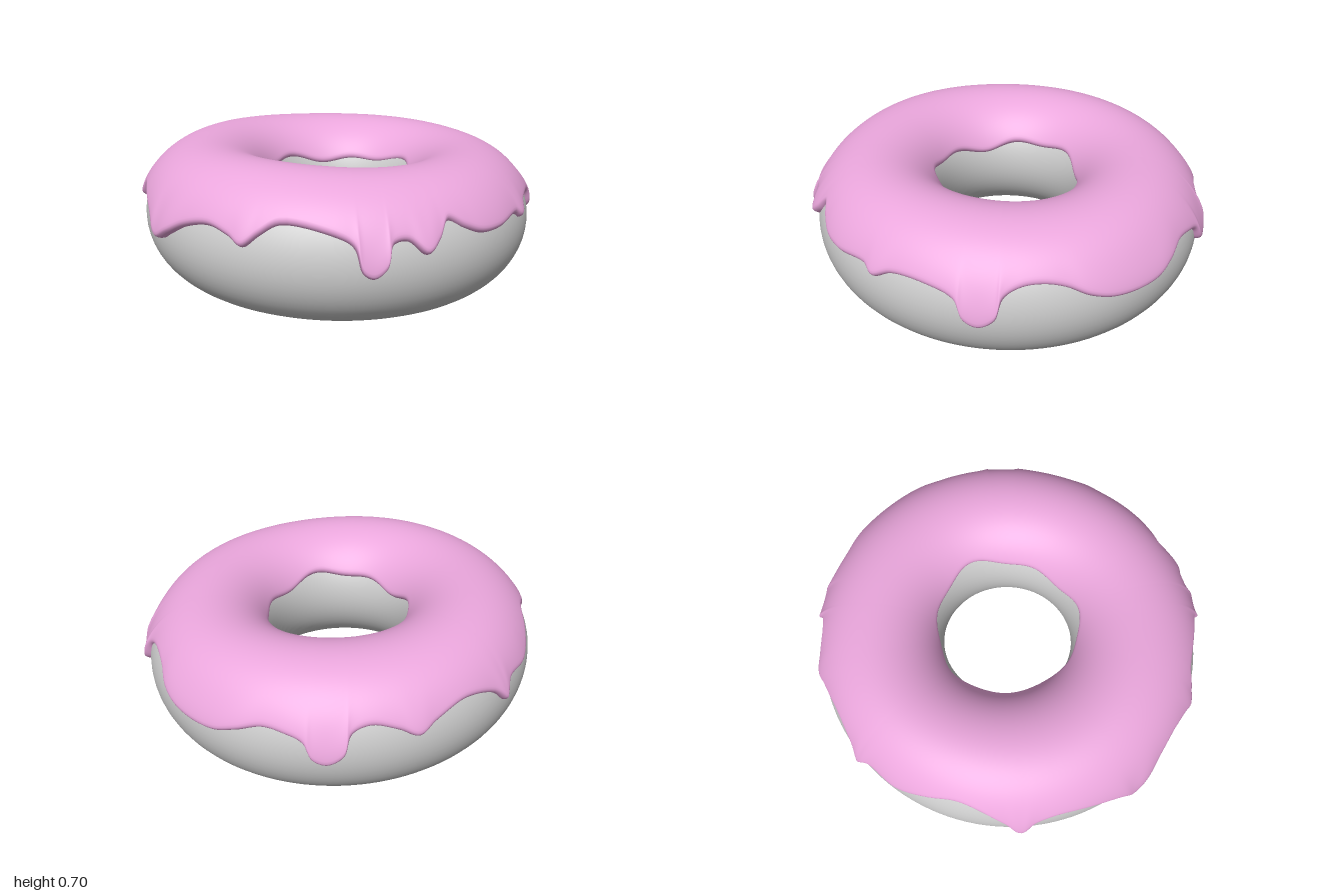
import * as THREE from 'three';

const RING = 0.65, RX = 0.315, RY = 0.319, RAD = Math.PI / 180;

// Lower rim of the icing: [degrees around the ring, height]; 0 = +x, 90 = front.
const RIM = [
  [-91, .385], [-87, .45], [-77, .49], [-67, .45], [-62, .41], [-57, .45], [-50, .48], [-45, .45], [-43, .36],
  [-39, .32], [-35.5, .34], [-33, .41], [-28, .44], [-22, .45], [-15, .41], [-8, .375], [5, .378], [12, .41],
  [18, .46], [24, .48], [30, .47], [34, .43], [36, .34], [40, .303], [43.5, .33], [46, .41], [54, .45],
  [64, .45], [69.5, .41], [73, .44], [84, .425], [91, .435], [96, .47], [101, .51], [105, .44], [108.5, .40],
  [113, .46], [117, .45], [119, .36], [122, .328], [124.5, .35], [126.5, .45], [131, .49], [145, .525],
  [150, .48], [154, .43], [158, .46], [165, .485], [173, .455], [179, .40], [184, .36], [188, .41], [194, .45],
  [207, .485], [214, .45], [218, .385], [222, .45], [229, .52], [237, .545], [246, .505], [255, .45],
  [265, .45], [269, .385],
];

// Point on the slightly tilted ring; phi: 0 = outside, 90 deg = top, 180 deg = hole side.
function ringPoint(theta, phi, offset = 0) {
  const c = Math.cos(phi), s = Math.sin(phi);
  const len = Math.hypot(c / RX, s / RY);
  const r = RING + RX * c + offset * c / RX / len;
  const y = centreY(theta) + RY * s + offset * s / RY / len;
  return [r * Math.cos(theta) + 0.008, y, r * Math.sin(theta) * 0.985 + 0.005];
}

function centreY(theta) {
  return 0.336 - 0.015 * Math.cos(theta) - 0.006 * Math.sin(theta);
}

// Smooth surface from a grid of points, closed around the ring and optionally across it.
function gridGeometry(nu, nv, closed, point) {
  const positions = [], index = [];
  const rows = closed ? nv : nv + 1;
  for (let i = 0; i < nu; i++)
    for (let j = 0; j < rows; j++) positions.push(...point(i / nu, j / nv));
  for (let i = 0; i < nu; i++) {
    for (let j = 0; j < nv; j++) {
      const i2 = (i + 1) % nu, j2 = (j + 1) % rows;
      const a = i * rows + j, b = i * rows + j2, c = i2 * rows + j, d = i2 * rows + j2;
      index.push(a, b, c, b, d, c);
    }
  }
  const geometry = new THREE.BufferGeometry();
  geometry.setAttribute('position', new THREE.Float32BufferAttribute(positions, 3));
  geometry.setIndex(index);
  geometry.computeVertexNormals();
  return geometry;
}

function doughGeometry() {
  return gridGeometry(128, 56, true, (u, v) => ringPoint(u * 2 * Math.PI, v * 2 * Math.PI));
}

function icingGeometry() {
  const rim = new THREE.CatmullRomCurve3(
    RIM.map(([deg, y]) => new THREE.Vector3(deg * RAD, y, 0)), false, 'centripetal');
  const { clamp, smoothstep } = THREE.MathUtils;

  return gridGeometry(372, 40, false, (u, v) => {
    const { x: theta, y: outerY } = rim.getPoint(u);
    const yc = centreY(theta);
    const innerY = 0.48 + 0.02 * Math.sin(3 * theta + 1) + 0.012 * Math.sin(7 * theta);
    const phiOut = Math.asin((outerY - yc) / RY);
    const phiIn = Math.PI - Math.asin((innerY - yc) / RY);
    // Rows crowd towards both rims so the rounded lip is smooth
    const phi = phiOut + (phiIn - phiOut) * (1 - Math.cos(v * Math.PI)) / 2;
    const fromOuter = (phi - phiOut) * RX, fromInner = (phiIn - phi) * RX;
    const lip = clamp(Math.min(fromOuter, fromInner) / 0.025, 0, 1);

    // Thicker on the high side, with a bead where the drips hang low
    const bead = 0.016 * smoothstep(0.47 - outerY, 0, 0.1) * Math.exp(-((fromOuter / 0.1) ** 2));
    const ripple = 0.003 * Math.sin(4 * theta + 2 * phi) * Math.sin(phi);
    const thickness = 0.023 - 0.007 * Math.cos(theta) + bead + ripple;
    return ringPoint(theta, phi, -0.004 + (thickness + 0.004) * Math.sqrt(1 - (1 - lip) ** 2));
  });
}

export function createModel() {
  const group = new THREE.Group();
  group.name = 'donut';

  const dough = new THREE.Mesh(doughGeometry(), new THREE.MeshStandardMaterial({ color: 0xcccccc }));
  dough.name = 'dough';

  const icing = new THREE.Mesh(
    icingGeometry(), new THREE.MeshStandardMaterial({ color: 0xeaa6dc, side: THREE.DoubleSide }));
  icing.name = 'icing';

  group.add(dough, icing);
  return group;
}
